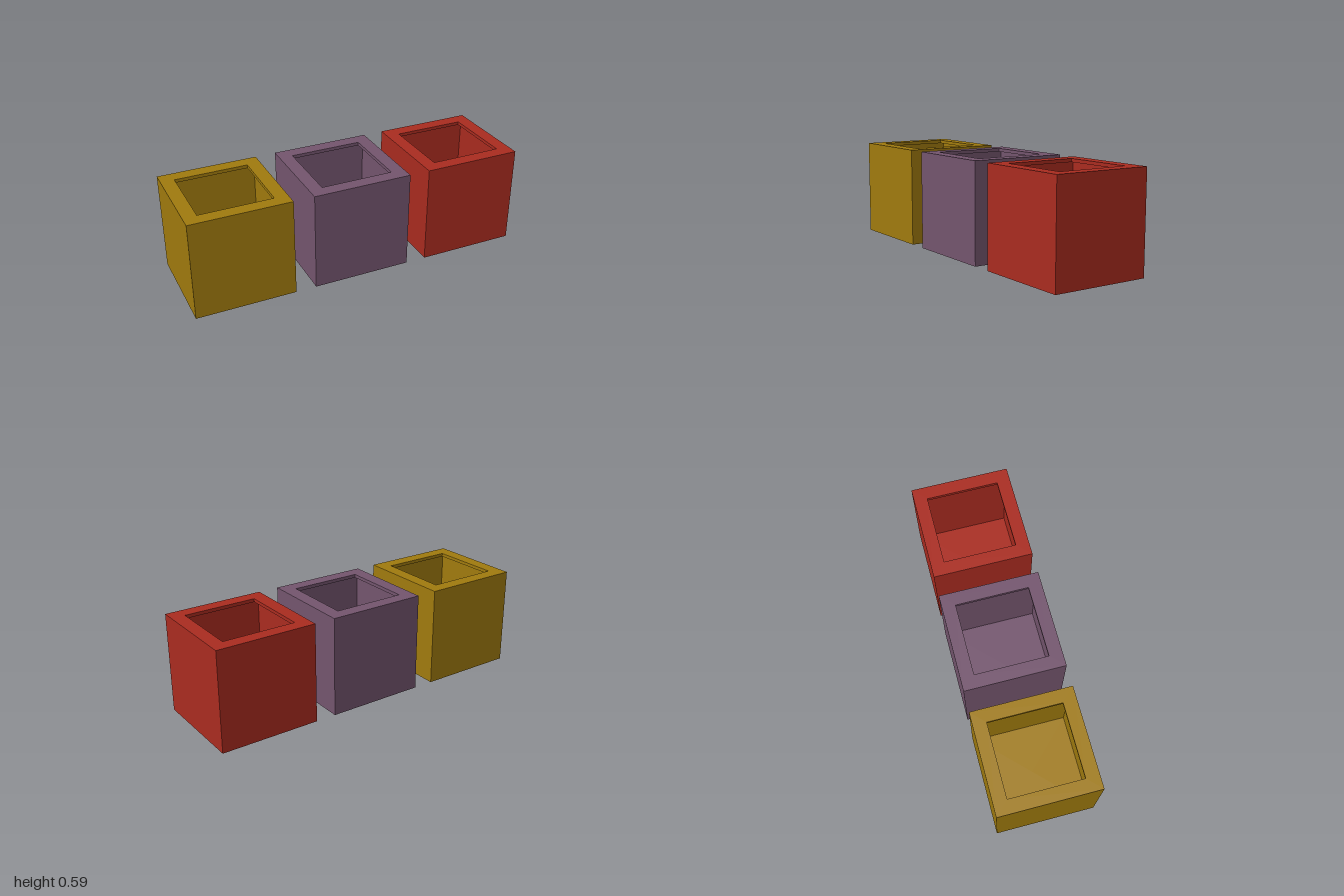
import * as THREE from 'three';

const SIZE = 0.586;    // outer edge of each cube
const WALL = 0.02;     // thickness of walls, floor and top plate
const OPENING = 0.428; // width of the square hole in the top
const SPACING = 0.707;

// Hollow square box with an inward rim: a closed profile turned in four sides
function createBoxGeometry() {
  const outer = SIZE / 2, inner = outer - WALL, hole = OPENING / 2;
  const profile = [
    [0, 0], [outer, 0], [outer, SIZE],          // underside and outer wall
    [hole, SIZE], [hole, SIZE - WALL],          // top rim and its edge
    [inner, SIZE - WALL], [inner, WALL], [0, WALL], // cavity and floor
  ].map(([half, y]) => new THREE.Vector2(half * Math.SQRT2, y));
  const geometry = new THREE.LatheGeometry(profile, 4, Math.PI / 4).toNonIndexed();
  geometry.computeVertexNormals();
  return geometry;
}

export function createModel() {
  const model = new THREE.Group();
  model.name = 'openBoxes';
  const geometry = createBoxGeometry();
  const boxes = [
    ['yellowBox', 0xa27c0e],
    ['purpleBox', 0x75566f],
    ['redBox', 0xac2c20],
  ];
  boxes.forEach(([name, color], i) => {
    const material = new THREE.MeshStandardMaterial({ color, flatShading: true });
    const box = new THREE.Mesh(geometry, material);
    box.name = name;
    box.position.x = (i - 1) * SPACING;
    model.add(box);
  });
  return model;
}
